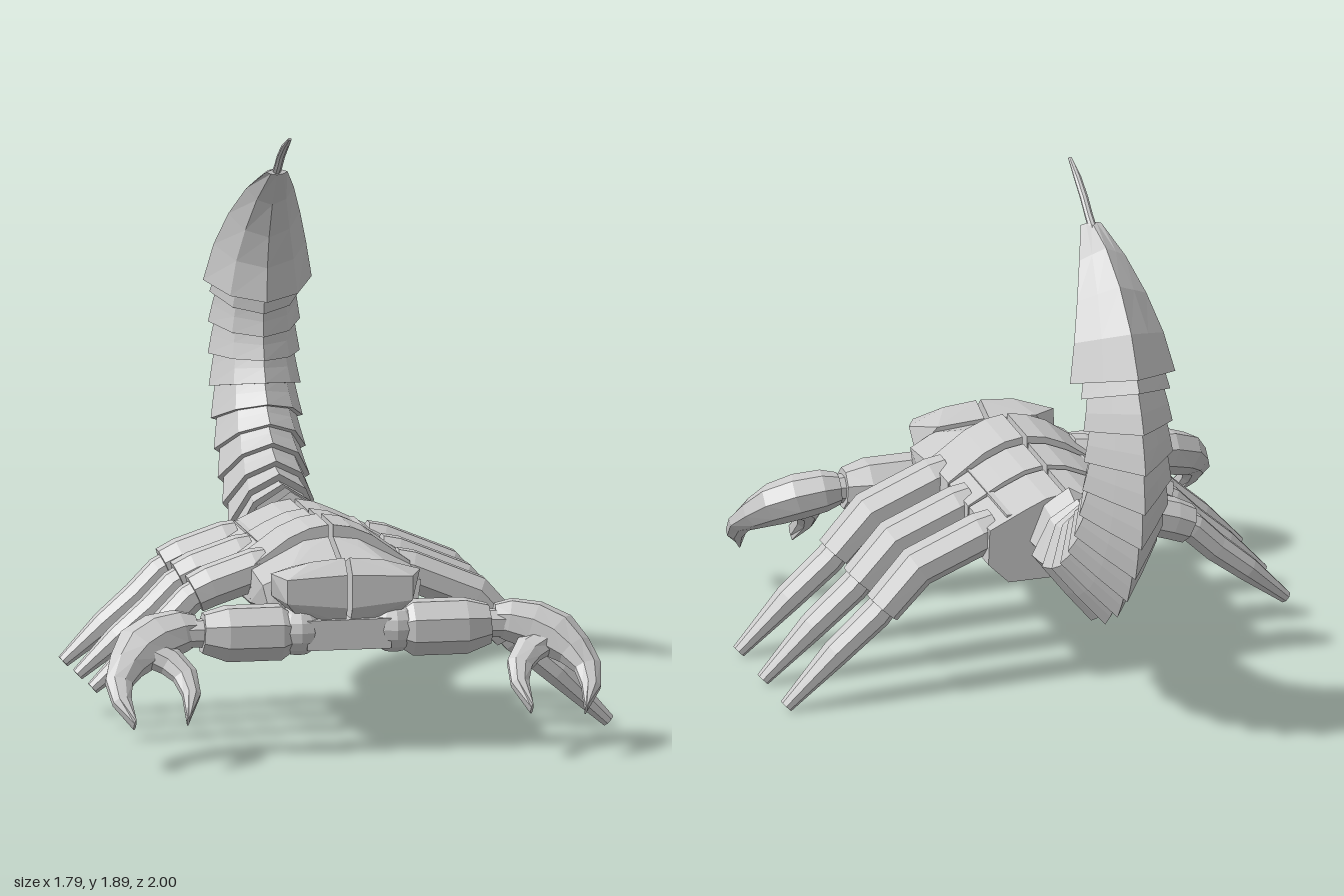
import * as THREE from 'three';
import { ConvexGeometry } from 'three/addons/geometries/ConvexGeometry.js';

const CX = -0.07; // centre line of the body
const mat = new THREE.MeshStandardMaterial({ color: 0xcccccc, flatShading: true });
const V = (x, y, z) => new THREE.Vector3(x, y, z);

// Unit cross-sections as [along normal, along binormal], counter-clockwise
const OCT = Array.from({ length: 8 }, (_, i) => {
  const a = ((i + 0.5) / 8) * Math.PI * 2;
  return [Math.cos(a) * 1.07, Math.sin(a) * 1.07];
});
const RIDGED = [[1, 0], [0.68, 0.62], [0, 1], [-0.5, 0.52], [-1, 0], [-0.5, -0.52], [0, -1], [0.68, -0.62]];

function mesh(geometry, name) {
  const m = new THREE.Mesh(geometry, mat);
  m.name = name;
  return m;
}

// Skins a section along a planar path; binormal is the normal of that plane
function loft(name, path, halfN, halfB, binormal, section) {
  const n = section.length, pos = [], idx = [];
  path.forEach((p, k) => {
    const t = path[Math.min(k + 1, path.length - 1)].clone().sub(path[Math.max(k - 1, 0)]).normalize();
    const normal = binormal.clone().cross(t).normalize();
    for (const [a, b] of section) {
      const q = p.clone().addScaledVector(normal, a * halfN[k]).addScaledVector(binormal, b * halfB[k]);
      pos.push(q.x, q.y, q.z);
    }
  });
  for (let k = 0; k < path.length - 1; k++) {
    for (let i = 0; i < n; i++) {
      const a = k * n + i, b = k * n + (i + 1) % n;
      idx.push(a, b, b + n, a, b + n, a + n);
    }
  }
  // End caps
  const last = (path.length - 1) * n;
  for (let i = 1; i < n - 1; i++) idx.push(0, i + 1, i, last, last + i, last + i + 1);
  const g = new THREE.BufferGeometry();
  g.setAttribute('position', new THREE.Float32BufferAttribute(pos, 3));
  g.setIndex(idx);
  const flat = g.toNonIndexed();
  flat.computeVertexNormals();
  return mesh(flat, name);
}

// Half of an armoured body segment, extruded along z
function bodyHalf(s, z0, z1, top) {
  const pts = [[0.008, top], [0.07, top - 0.01], [0.14, top - 0.04], [0.265, 0.59], [0.27, 0.47], [0.2, 0.4], [0.008, 0.4]];
  const shape = new THREE.Shape(pts.map(([u, y]) => new THREE.Vector2(CX + s * u, y)));
  const g = new THREE.ExtrudeGeometry(shape, { depth: z1 - z0, bevelEnabled: false });
  g.translate(0, 0, z0);
  return mesh(g, 'bodyPlate');
}

function convex(name, s, pts) {
  return mesh(new ConvexGeometry(pts.map(([u, y, z]) => V(CX + s * u, y, z))), name);
}

function box(name, w, h, d, x, y, z) {
  const m = mesh(new THREE.BoxGeometry(w, h, d), name);
  m.position.set(x, y, z);
  return m;
}

function createBody() {
  const g = new THREE.Group();
  g.name = 'body';
  for (const s of [1, -1]) {
    g.add(bodyHalf(s, 0.26, 0.47, 0.72), bodyHalf(s, 0.05, 0.25, 0.7), bodyHalf(s, -0.18, 0.04, 0.69));
    // Sloping shield behind the head
    g.add(convex('headShield', s, [
      [0.008, 0.68, 0.47], [0.09, 0.67, 0.47], [0.265, 0.58, 0.47], [0.27, 0.47, 0.47], [0.2, 0.42, 0.47], [0.008, 0.42, 0.47],
      [0.008, 0.66, 0.53], [0.08, 0.655, 0.53], [0.008, 0.61, 0.68], [0.18, 0.6, 0.67], [0.265, 0.56, 0.66], [0.25, 0.49, 0.68],
      [0.17, 0.45, 0.7], [0.008, 0.45, 0.7],
    ]));
    g.add(convex('head', s, [
      [0.008, 0.63, 0.66], [0.17, 0.62, 0.66], [0.008, 0.66, 0.75], [0.12, 0.65, 0.75], [0.008, 0.61, 0.8], [0.13, 0.6, 0.8],
      [0.25, 0.61, 0.72], [0.21, 0.6, 0.8], [0.21, 0.52, 0.8], [0.24, 0.53, 0.68], [0.15, 0.45, 0.74], [0.008, 0.44, 0.76],
      [0.008, 0.5, 0.8], [0.008, 0.46, 0.66],
    ]));
  }
  g.add(box('bodyCore', 0.4, 0.2, 0.62, CX, 0.53, 0.15));
  g.add(box('chin', 0.28, 0.1, 0.12, CX, 0.41, 0.73));
  return g;
}

function createArm(s) {
  const g = new THREE.Group();
  g.name = s > 0 ? 'leftArm' : 'rightArm';
  const P = (u, y, z) => V(CX + s * u, y, z);
  const Z = V(0, 0, 1);
  const shoulder = mesh(new THREE.SphereGeometry(0.085, 12, 8), 'shoulder');
  shoulder.position.copy(P(0.16, 0.42, 0.72));
  g.add(shoulder);
  g.add(loft('upperArm', [P(0.19, 0.415, 0.72), P(0.22, 0.415, 0.72), P(0.4, 0.415, 0.72), P(0.48, 0.42, 0.72)],
    [0.07, 0.09, 0.09, 0.065], [0.07, 0.085, 0.085, 0.06], Z, OCT));
  g.add(loft('wrist', [P(0.46, 0.42, 0.72), P(0.54, 0.42, 0.72)], [0.045, 0.045], [0.045, 0.045], Z, OCT));
  // Pincer lies in a plane tilted forward and down
  const C = (u, t) => P(u, 0.43 - 0.68 * t, 0.7 + 0.73 * t);
  const up = V(0, 0.73, 0.68).normalize();
  g.add(loft('outerPincer', [[0.5, 0], [0.55, 0.005], [0.63, 0.03], [0.7, 0.075], [0.75, 0.14], [0.785, 0.21], [0.785, 0.29], [0.755, 0.385]].map((p) => C(...p)),
    [0.05, 0.07, 0.08, 0.08, 0.06, 0.045, 0.032, 0.004], [0.05, 0.065, 0.07, 0.065, 0.05, 0.032, 0.028, 0.026], up, OCT));
  g.add(loft('innerPincer', [[0.67, 0.09], [0.6, 0.13], [0.56, 0.19], [0.55, 0.27], [0.575, 0.375]].map((p) => C(...p)),
    [0.045, 0.05, 0.042, 0.03, 0.004], [0.045, 0.036, 0.03, 0.028, 0.026], up, OCT));
  return g;
}

// Left legs stand lower and reach the ground; right legs are shorter and lifted
function createLeg(s, z) {
  const g = new THREE.Group();
  g.name = s > 0 ? 'leftLeg' : 'rightLeg';
  const Z = V(0, 0, 1);
  const line = (pts) => pts.map(([x, y]) => V(x, y, z));
  if (s > 0) {
    g.add(loft('thigh', line([[0.15, 0.565], [0.2, 0.55], [0.42, 0.46], [0.54, 0.33]]),
      [0.06, 0.066, 0.066, 0.06], [0.06, 0.068, 0.068, 0.064], Z, OCT));
    g.add(loft('shin', line([[0.51, 0.365], [0.56, 0.31], [0.7, 0.19], [0.872, 0.022]]),
      [0.045, 0.048, 0.044, 0.022], [0.045, 0.05, 0.046, 0.022], Z, OCT));
  } else {
    g.add(loft('thigh', line([[-0.27, 0.58], [-0.31, 0.57], [-0.46, 0.52], [-0.515, 0.495]]),
      [0.06, 0.066, 0.066, 0.062], [0.06, 0.068, 0.068, 0.064], Z, OCT));
    g.add(loft('shin', line([[-0.48, 0.51], [-0.53, 0.48], [-0.61, 0.4], [-0.72, 0.31], [-0.855, 0.19]]),
      [0.045, 0.048, 0.046, 0.04, 0.02], [0.045, 0.048, 0.048, 0.044, 0.022], Z, OCT));
  }
  return g;
}

function createTail() {
  const g = new THREE.Group();
  g.name = 'tail';
  const X = V(1, 0, 0);
  const line = (pts) => pts.map(([z, y]) => V(CX - 0.005, y, z));
  const curve = new THREE.CatmullRomCurve3(line([[-0.16, 0.54], [-0.35, 0.52], [-0.52, 0.58], [-0.67, 0.71],
    [-0.77, 0.87], [-0.815, 1.05], [-0.805, 1.22], [-0.75, 1.38]]));
  // Overlapping rings, each flared toward the body
  const rings = 12;
  for (let i = 0; i < rings; i++) {
    const t0 = i / rings, t1 = Math.min((i + 1.1) / rings, 1), tm = (t0 + t1) / 2;
    const h = 0.155 + 0.055 * Math.sin(Math.PI * Math.min(1, 0.12 + t0 * 0.95));
    const w = i === 0 ? 0.135 : 0.154;
    g.add(loft('tailRing', [t0, tm, t1].map((t) => curve.getPointAt(t)),
      [h, h * 0.92, h * 0.84], [w, w * 0.93, w * 0.86], X, RIDGED));
  }
  // Stinger bulb and needle
  g.add(loft('stingerBulb', line([[-0.755, 1.325], [-0.715, 1.45], [-0.64, 1.565], [-0.54, 1.665], [-0.42, 1.74]]),
    [0.175, 0.145, 0.11, 0.065, 0.012], [0.182, 0.155, 0.12, 0.08, 0.035], X, RIDGED));
  g.add(loft('stingerNeedle', line([[-0.47, 1.71], [-0.4, 1.76], [-0.35, 1.805], [-0.28, 1.85], [-0.2, 1.888]]),
    [0.016, 0.012, 0.01, 0.009, 0.004], [0.014, 0.013, 0.013, 0.012, 0.006], X, OCT));
  return g;
}

export function createModel() {
  const model = new THREE.Group();
  model.name = 'scorpion';
  model.add(createBody(), createTail());
  for (const s of [1, -1]) {
    model.add(createArm(s));
    for (const z of [0.405, 0.15, -0.095]) model.add(createLeg(s, z));
  }
  return model;
}
